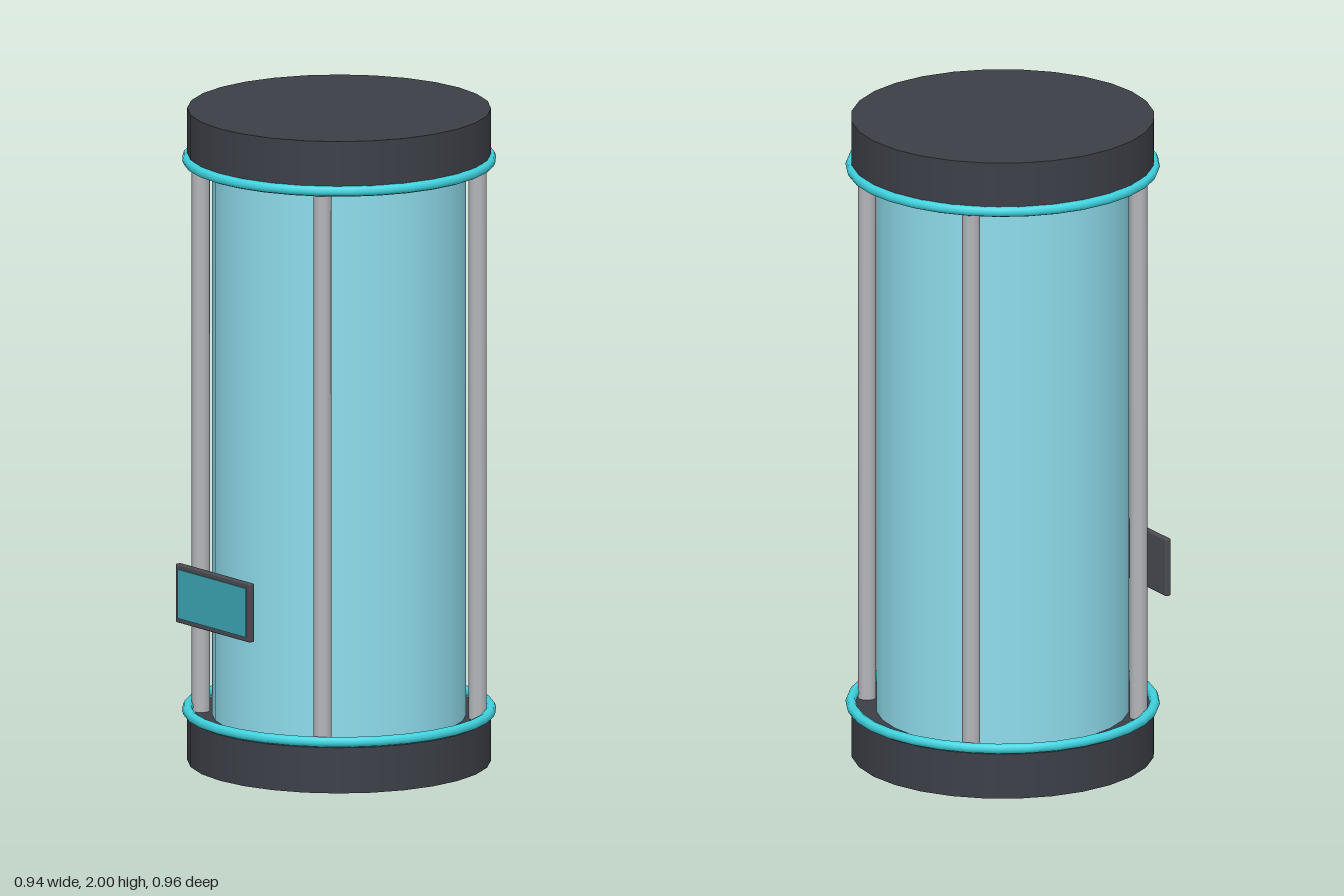
import * as THREE from 'three';
import { RoundedBoxGeometry } from 'three/addons/geometries/RoundedBoxGeometry.js';

const material = (color) => new THREE.MeshStandardMaterial({ color });

export function createModel() {
  const model = new THREE.Group();
  model.name = 'glassTank';

  const dark = material(0x3c3f47);
  const cyan = material(0x3fd4e0);
  const glass = material(0x8fdcec);
  const metal = material(0xb4b6ba);
  const frame = material(0x4a4c52);
  const screen = material(0x3aa6b5);

  const add = (name, geometry, mat, x, y, z, parent = model) => {
    const mesh = new THREE.Mesh(geometry, mat);
    mesh.name = name;
    mesh.position.set(x, y, z);
    parent.add(mesh);
    return mesh;
  };

  // The round body sits slightly back to balance the panel in front
  const body = new THREE.Group();
  body.name = 'body';
  body.position.z = -0.008;
  model.add(body);

  // End caps, each with a glowing ring at its inner edge
  const capGeometry = new THREE.CylinderGeometry(0.455, 0.455, 0.14, 28);
  const ringGeometry = new THREE.TorusGeometry(0.455, 0.016, 8, 32).rotateX(Math.PI / 2);
  add('baseCap', capGeometry, dark, 0, 0.07, 0, body);
  add('topCap', capGeometry, dark, 0, 1.93, 0, body);
  add('baseRing', ringGeometry, cyan, 0, 0.157, 0, body);
  add('topRing', ringGeometry, cyan, 0, 1.847, 0, body);

  // Glass cylinder between the caps
  add('glassCylinder', new THREE.CylinderGeometry(0.38, 0.38, 1.72, 28), glass, 0, 1, 0, body);

  // Four support rods around the glass
  const rodGeometry = new THREE.CylinderGeometry(0.027, 0.027, 1.72, 10);
  for (const x of [-0.295, 0.295]) {
    for (const z of [-0.295, 0.295]) add('supportRod', rodGeometry, metal, x, 1, z, body);
  }

  // Control panel with an inset screen
  const panel = new THREE.Group();
  panel.name = 'controlPanel';
  panel.position.set(0, 0.548, 0.464);
  model.add(panel);
  add('panelFrame', new RoundedBoxGeometry(0.36, 0.18, 0.02, 2, 0.005), frame, 0, 0, 0, panel);
  add('panelScreen', new THREE.BoxGeometry(0.33, 0.15, 0.008), screen, 0, 0, 0.009, panel);

  return model;
}
